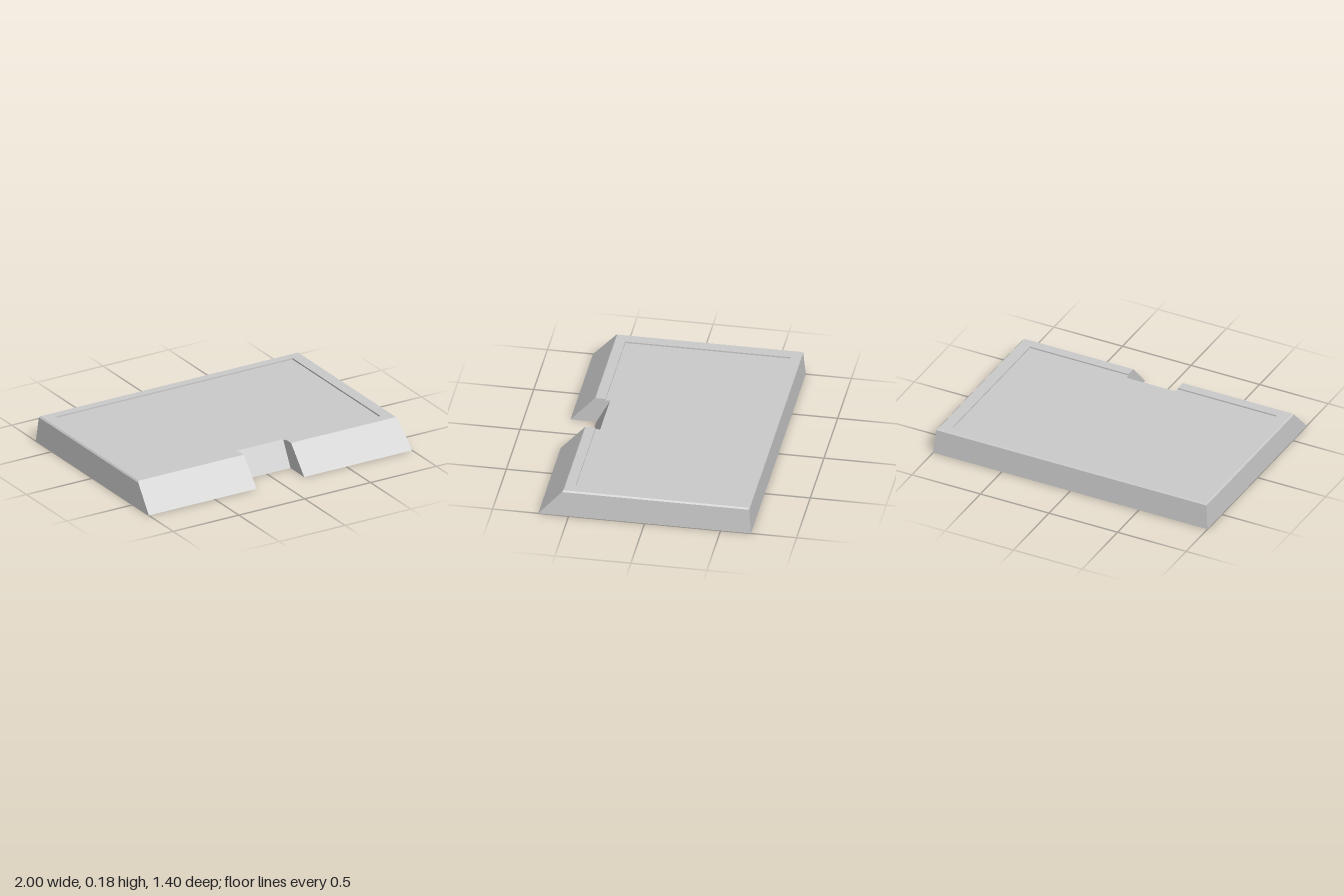
import * as THREE from 'three';

const TOP = 0.18, PLATE = 0.17, NOTCH = 0.18;
const material = new THREE.MeshStandardMaterial({ color: 0xcccccc, flatShading: true, side: THREE.DoubleSide });

// Flat-shaded skin between successive rows of points of equal length
function loft(rows) {
  const pos = [];
  for (let r = 0; r < rows.length - 1; r++) {
    for (let i = 0; i < rows[r].length - 1; i++) {
      const a = rows[r][i], b = rows[r][i + 1], c = rows[r + 1][i + 1], d = rows[r + 1][i];
      pos.push(...a, ...b, ...c, ...a, ...c, ...d);
    }
  }
  const g = new THREE.BufferGeometry();
  g.setAttribute('position', new THREE.Float32BufferAttribute(pos, 3));
  g.computeVertexNormals();
  return g;
}

// Path around the body, starting and ending at the front notch
const ring = (h, front, back, y) => [
  [NOTCH, front], [h, front], [h, back], [-h, back], [-h, front], [-NOTCH, front],
].map(([x, z]) => [x, y, z]);

const flat = (points) => new THREE.ShapeGeometry(new THREE.Shape(points.map(([x, y]) => new THREE.Vector2(x, y))));

export function createModel() {
  const group = new THREE.Group();
  const add = (name, geometry) => {
    const mesh = new THREE.Mesh(geometry, material);
    mesh.name = name;
    group.add(mesh);
    return mesh;
  };

  const base = ring(1, 0.7, -0.7, 0);
  const shoulder = ring(0.986, 0.547, -0.686, 0.17);
  const rimEdge = ring(0.977, 0.537, -0.677, TOP);
  const lipTop = ring(0.9, 0.47, -0.62, TOP);
  const lipBottom = ring(0.9, 0.47, -0.62, PLATE);

  // Hollow casing, open underneath
  add('sideWalls', loft([base, shoulder]));
  add('rim', loft([shoulder, rimEdge, lipTop, lipBottom]));

  // Slightly recessed top plate, cut back at the notch
  const plate = flat([
    [-0.9, -0.47], [-NOTCH, -0.47], [-NOTCH, -0.44], [NOTCH, -0.44],
    [NOTCH, -0.47], [0.9, -0.47], [0.9, 0.62], [-0.9, 0.62],
  ]);
  plate.rotateX(-Math.PI / 2).translate(0, PLATE, 0);
  add('topPlate', plate);

  // Sloping wall at the back of the notch
  add('notchWall', loft([
    [[-NOTCH, 0, 0.53], [NOTCH, 0, 0.53]],
    [[-NOTCH, PLATE, 0.44], [NOTCH, PLATE, 0.44]],
  ]));

  // Side faces of the notch, mirrored
  const cheek = flat([
    [0.53, 0], [0.7, 0], [0.547, 0.17], [0.537, TOP], [0.47, TOP], [0.47, PLATE], [0.44, PLATE],
  ]).rotateY(-Math.PI / 2);
  for (const side of [1, -1]) {
    const mesh = add(side > 0 ? 'leftNotchCheek' : 'rightNotchCheek', cheek);
    mesh.position.x = side * NOTCH;
    mesh.scale.x = side;
  }
  return group;
}
